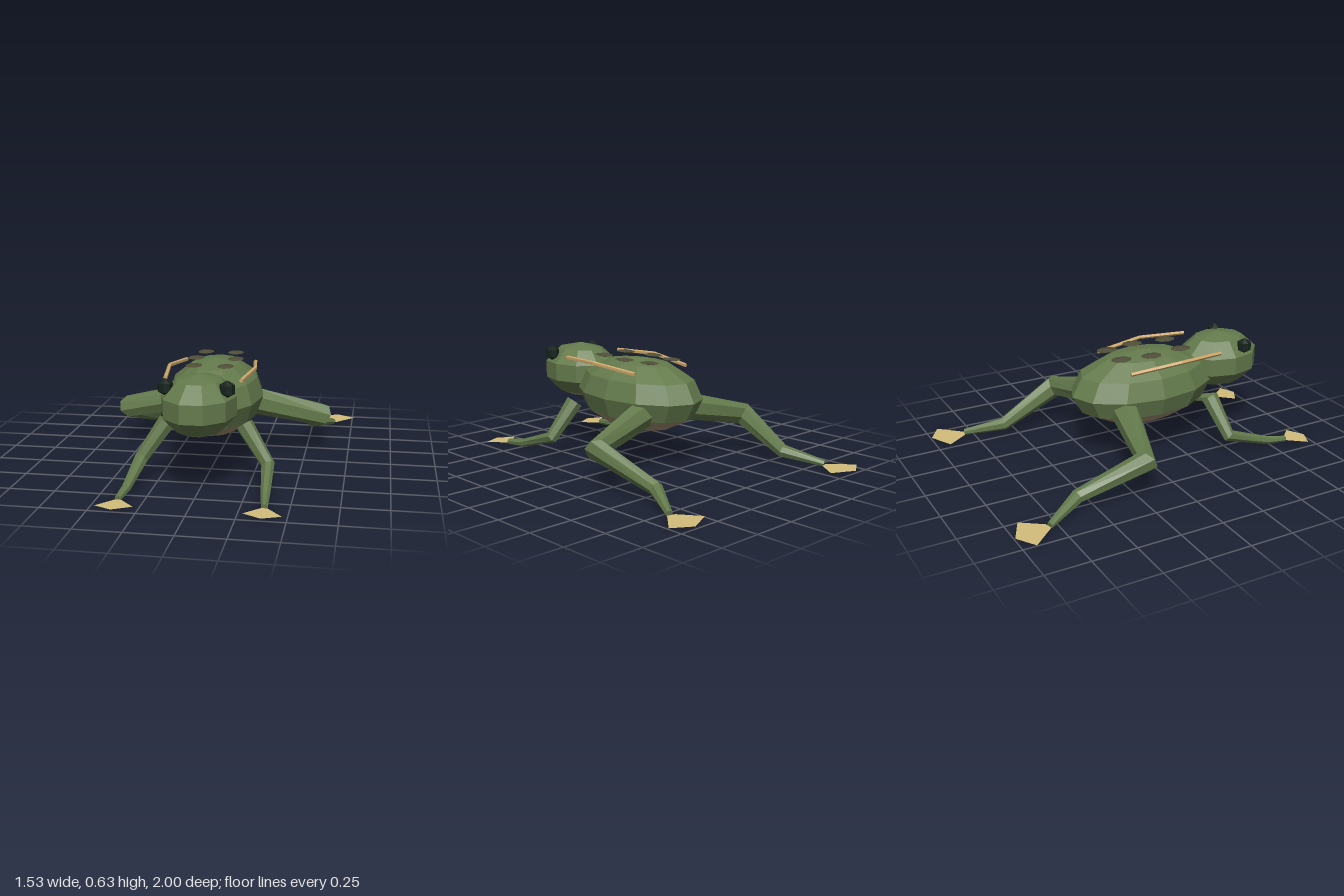
import * as THREE from 'three';

function mat(name, color, extra = {}) {
  const m = new THREE.MeshStandardMaterial({ color, flatShading: true, ...extra });
  m.name = name;
  return m;
}

// Tapered limb: rings of n sides swept along [x, y, z, radius] joints, capped at both ends
function limbGeometry(joints, n = 7) {
  const pts = joints.map(j => new THREE.Vector3(j[0], j[1], j[2]));
  const dir = i => pts[i + 1].clone().sub(pts[i]).normalize();
  const last = pts.length - 1;
  const pos = [], idx = [];
  let u = null;
  pts.forEach((p, i) => {
    const t = i === 0 ? dir(0) : i === last ? dir(last - 1) : dir(i - 1).add(dir(i)).normalize();
    if (!u) u = new THREE.Vector3(0, 1, 0).cross(t);
    u = u.clone().addScaledVector(t, -u.dot(t)).normalize();
    const v = t.clone().cross(u);
    for (let k = 0; k < n; k++) {
      const a = (k / n) * Math.PI * 2;
      const q = p.clone().addScaledVector(u, Math.cos(a) * joints[i][3]).addScaledVector(v, Math.sin(a) * joints[i][3]);
      pos.push(q.x, q.y, q.z);
    }
  });
  const c0 = pos.length / 3;
  for (const p of [pts[0], pts[last]]) pos.push(p.x, p.y, p.z);
  for (let k = 0; k < n; k++) {
    const k1 = (k + 1) % n;
    for (let i = 0; i < last; i++) {
      const a = i * n + k, b = i * n + k1;
      idx.push(a, b, b + n, a, b + n, a + n);
    }
    idx.push(c0, k1, k, c0 + 1, last * n + k, last * n + k1);
  }
  const g = new THREE.BufferGeometry();
  g.setAttribute('position', new THREE.Float32BufferAttribute(pos, 3));
  g.setIndex(idx);
  g.computeVertexNormals();
  return g;
}

// Flat webbed foot from an [x, z] outline at height y
function webGeometry(outline, y, s) {
  const shape = new THREE.Shape(outline.map(([x, z]) => new THREE.Vector2(s * x, -z)));
  return new THREE.ShapeGeometry(shape).rotateX(-Math.PI / 2).translate(0, y, 0);
}

export function createModel() {
  const root = new THREE.Group();
  root.name = 'frog';
  const skin = mat('skin green', 0x647a4c);
  const belly = mat('belly tan', 0xa29070);
  const spot = mat('spot olive', 0x4e4e38);
  const eye = mat('eye black', 0x16221b);
  const ridge = mat('ridge gold', 0xcca76a);
  const web = mat('web sand', 0xd2bd7a, { side: THREE.DoubleSide });

  function add(name, geometry, material) {
    const m = new THREE.Mesh(geometry, material);
    m.name = name;
    root.add(m);
    return m;
  }

  // Squashed sphere split into an upper and a lower colour at one of its rings
  function twoTone(names, cols, rows, lowerRows, scale, at) {
    const split = Math.PI * (1 - lowerRows / rows);
    const parts = [
      [names[0], rows - lowerRows, 0, split, skin],
      [names[1], lowerRows, split, Math.PI - split, belly],
    ];
    for (const [name, h, start, length, m] of parts) {
      const g = new THREE.SphereGeometry(1, cols, h, 0, Math.PI * 2, start, length);
      add(name, g.scale(...scale).translate(...at), m);
    }
  }
  twoTone(['body', 'belly'], 12, 6, 2, [0.272, 0.214, 0.445], [0, 0.396, 0.08]);
  twoTone(['head', 'chin'], 10, 5, 1, [0.209, 0.165, 0.255], [0, 0.47, 0.6]);

  // Joints of the model's left limbs: x, y, z, radius
  const hind = [[0.17, 0.325, -0.12, 0.082], [0.588, 0.222, -0.22, 0.067], [0.515, 0.075, -0.59, 0.039], [0.63, 0.021, -0.8, 0.019]];
  const fore = [[0.21, 0.32, 0.415, 0.05], [0.347, 0.117, 0.466, 0.038], [0.366, 0.034, 0.73, 0.025], [0.377, 0.02, 0.855, 0.018]];
  const hindWeb = [[0.6, -0.81], [0.645, -0.8], [0.764, -0.93], [0.655, -1], [0.515, -0.93]];
  const foreWeb = [[0.36, 0.855], [0.392, 0.855], [0.474, 0.957], [0.376, 1], [0.277, 0.944]];
  const ridgePath = [[0.203, 0.576, 0.485, 0.012], [0.241, 0.583, 0.2, 0.012], [0.203, 0.555, -0.1, 0.012]];
  const spots = [[0.088, 0.285], [0.114, 0.078], [0.088, -0.1]];

  for (const [side, s] of [['left', 1], ['right', -1]]) {
    const mirror = joints => joints.map(([x, y, z, r]) => [s * x, y, z, r]);
    add(side + 'HindLeg', limbGeometry(mirror(hind)), skin);
    add(side + 'FrontLeg', limbGeometry(mirror(fore)), skin);
    add(side + 'HindFoot', webGeometry(hindWeb, 0.015, s), web);
    add(side + 'FrontFoot', webGeometry(foreWeb, 0.015, s), web);
    add(side + 'BackRidge', limbGeometry(mirror(ridgePath), 5), ridge);
    add(side + 'Eye', new THREE.SphereGeometry(0.046, 8, 3), eye).position.set(s * 0.16, 0.575, 0.68);
    // Flat lens-shaped spots on the back
    spots.forEach(([x, z], i) => {
      const g = new THREE.SphereGeometry(1, 8, 2).scale(0.047, 0.012, 0.063);
      add(side + 'Spot' + (i + 1), g, spot).position.set(s * x, 0.605, z);
    });
  }
  return root;
}
